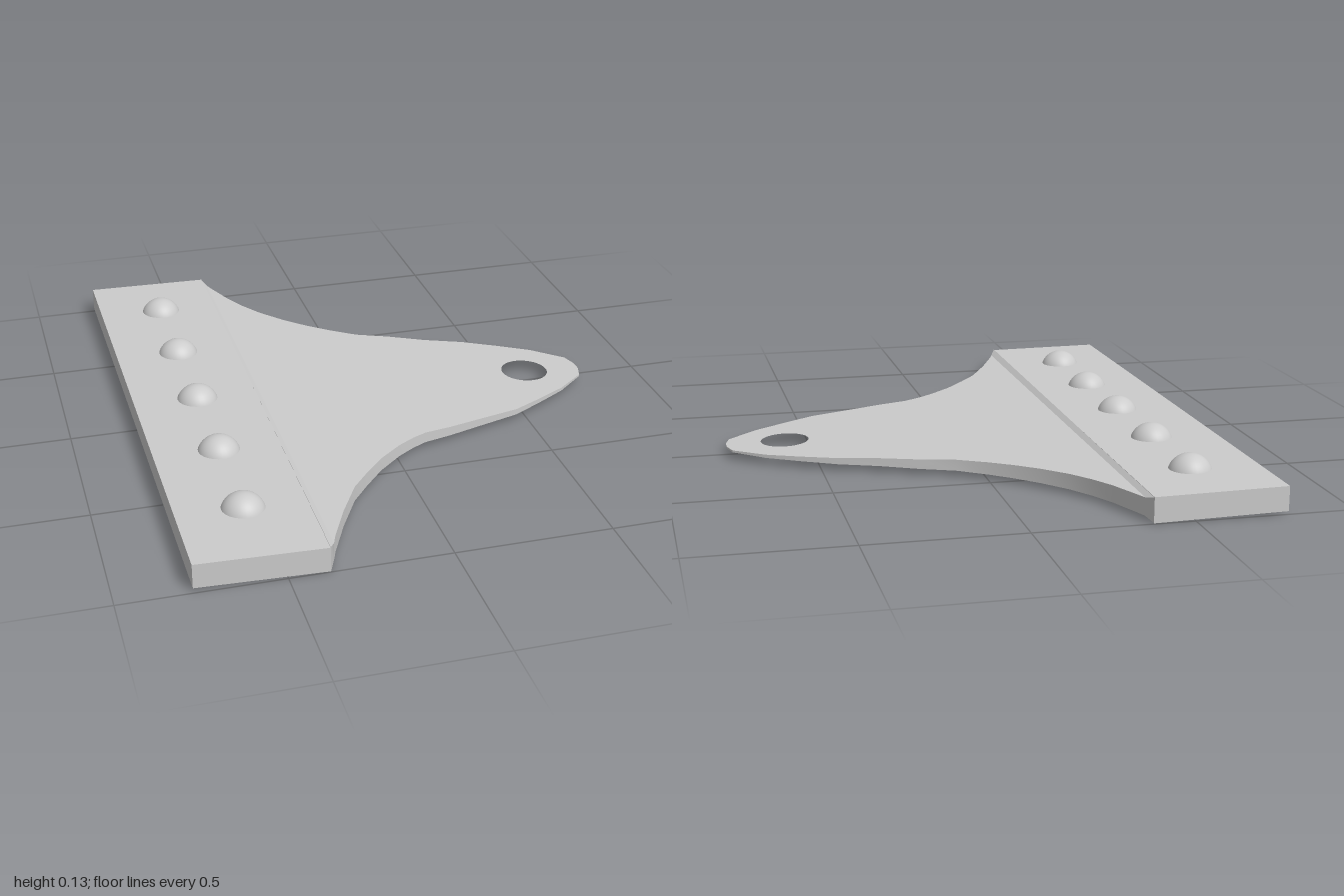
import * as THREE from 'three';
import { toCreasedNormals } from 'three/addons/utils/BufferGeometryUtils.js';

const material = new THREE.MeshStandardMaterial({ color: 0xcccccc });

// Height that runs in a straight line from (x0, y0) to (x1, y1)
const slope = (x0, y0, x1, y1) => (x) => y0 + ((y1 - y0) * (x - x0)) / (x1 - x0);

// Plate from an [x, z] outline, with sloping top and bottom heights
function plate(name, outline, top, bottom, hole) {
  const shape = new THREE.Shape(outline.map(([x, z]) => new THREE.Vector2(x, -z)));
  if (hole) shape.holes.push(hole);
  const geo = new THREE.ExtrudeGeometry(shape, { depth: 1, bevelEnabled: false, curveSegments: 20 });
  geo.rotateX(-Math.PI / 2);
  const pos = geo.attributes.position;
  for (let i = 0; i < pos.count; i++) {
    const x = pos.getX(i);
    pos.setY(i, pos.getY(i) > 0.5 ? top(x) : bottom(x));
  }
  const mesh = new THREE.Mesh(toCreasedNormals(geo, 0.5), material);
  mesh.name = name;
  return mesh;
}

export function createModel() {
  const group = new THREE.Group();
  group.name = 'mountingPlate';

  // Thick bar along the straight edge
  group.add(plate('bar',
    [[-0.79, -1], [-0.775, 0.99], [-0.375, 1], [-0.37, -1]],
    slope(-0.79, 0.086, -0.37, 0.08), slope(-0.79, 0.008, -0.37, 0)));

  // Short bevel from the bar down to the tongue
  group.add(plate('bevel',
    [[-0.37, -1], [-0.375, 1], [-0.355, 0.96], [-0.355, -0.96]],
    slope(-0.372, 0.08, -0.355, 0.068), slope(-0.372, 0, -0.355, 0.012)));

  // Tapering tongue with a round hole near its tip
  const back = [[-0.355, -0.96], [-0.34, -0.92], [-0.3, -0.82], [-0.26, -0.745], [-0.21, -0.67],
    [-0.14, -0.59], [-0.07, -0.525], [0, -0.47], [0.09, -0.41], [0.2, -0.37], [0.32, -0.315],
    [0.45, -0.27], [0.57, -0.21], [0.67, -0.155], [0.77, -0.07], [0.785, -0.02]];
  const front = [[0.785, 0.02], [0.77, 0.07], [0.67, 0.155], [0.56, 0.22], [0.46, 0.275],
    [0.32, 0.315], [0.2, 0.35], [0.11, 0.37], [0.06, 0.395], [0, 0.435], [-0.08, 0.505],
    [-0.15, 0.585], [-0.21, 0.66], [-0.28, 0.79], [-0.34, 0.92], [-0.355, 0.96]];
  const hole = new THREE.Path().absarc(0.59, 0, 0.08, 0, Math.PI * 2, true);
  group.add(plate('tongue', [...back, ...front],
    slope(-0.355, 0.068, 0.785, 0.03), slope(-0.355, 0.012, 0.785, 0.024), hole));

  // Row of domed rivets
  const dome = new THREE.SphereGeometry(0.071, 32, 12, 0, Math.PI * 2, 0, Math.PI / 2);
  for (let i = 0; i < 5; i++) {
    const rivet = new THREE.Mesh(dome, material);
    rivet.name = 'rivet' + (i + 1);
    rivet.position.set(-0.57, 0.059, -0.748 + i * 0.366);
    group.add(rivet);
  }
  return group;
}
